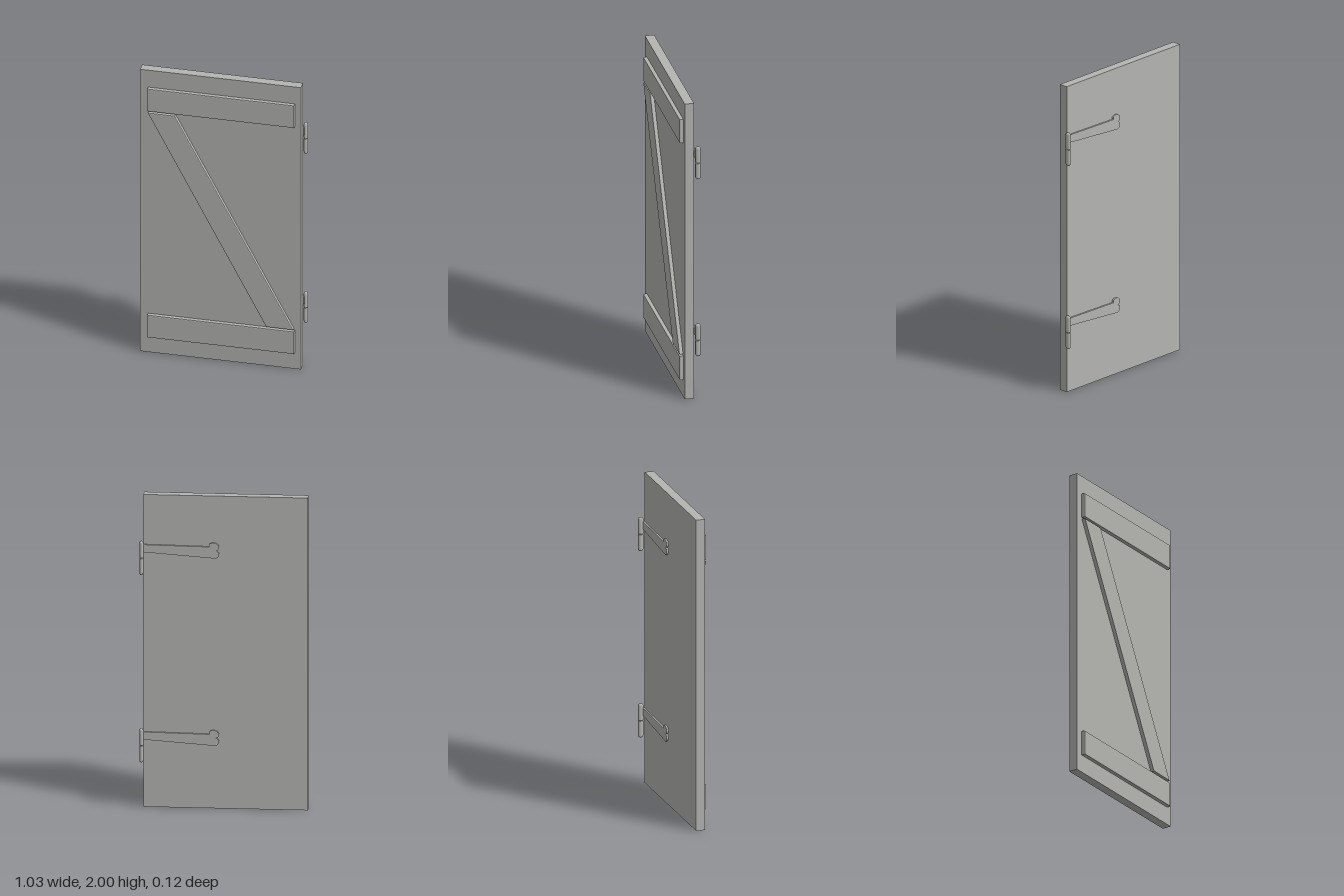
import * as THREE from 'three';

export function createModel() {
  const door = new THREE.Group();
  door.name = 'ledgedDoor';
  const grey = new THREE.MeshStandardMaterial({ color: 0xb4b5b1 });
  grey.name = 'plain grey';

  function add(name, geometry, parent = door) {
    const mesh = new THREE.Mesh(geometry, grey);
    mesh.name = name;
    parent.add(mesh);
    return mesh;
  }

  // Main slab
  const slab = add('slab', new THREE.BoxGeometry(1.01, 2, 0.058));
  slab.position.set(-0.013, 1, 0.006);

  // Boards on the front: outline extruded with softly eased edges
  const bevel = 0.006;
  function board(name, points) {
    const shape = new THREE.Shape(points.map(([x, y]) => new THREE.Vector2(x, y)));
    const geometry = new THREE.ExtrudeGeometry(shape, {
      depth: 0.03, bevelEnabled: true, bevelSize: bevel, bevelOffset: -bevel,
      bevelThickness: bevel, bevelSegments: 2,
    });
    geometry.translate(0, 0, 0.059 - 0.03 - bevel);
    add(name, geometry);
  }
  const rail = (y0, y1) => [[-0.468, y0], [0.453, y0], [0.453, y1], [-0.468, y1]];
  board('topRail', rail(1.72, 1.88));
  board('bottomRail', rail(0.115, 0.275));
  board('diagonalBrace', [[0.278, 0.286], [0.448, 0.286], [-0.296, 1.71], [-0.466, 1.71]]);

  // Strap outline, with y measured from the joint of the hinge barrel
  const strapShape = new THREE.Shape();
  strapShape.moveTo(0.5, 0.034);
  strapShape.lineTo(0.5, 0.082);
  strapShape.lineTo(0.086, 0.076);
  strapShape.bezierCurveTo(0.105, 0.108, 0.03, 0.112, 0.028, 0.075);
  strapShape.quadraticCurveTo(0.028, 0.058, 0.046, 0.052);
  strapShape.bezierCurveTo(0.022, 0.046, 0.02, 0.006, 0.055, 0.002);
  strapShape.lineTo(0.086, 0.005);
  strapShape.closePath();
  const strapGeometry = new THREE.ExtrudeGeometry(strapShape, {
    depth: 0.014, bevelEnabled: false, curveSegments: 10,
  });
  strapGeometry.translate(0, 0, -0.034);

  // Half of the oval barrel, rounded at both ends
  const length = 0.109;
  const profile = [
    [0, 0], [0.012, 0], [0.016, 0.002], [0.017, 0.005], [0.017, length - 0.014],
    [0.015, length - 0.007], [0.01, length - 0.002], [0, length],
  ].map(([r, y]) => new THREE.Vector2(r, y));
  const barrelGeometry = new THREE.LatheGeometry(profile, 24);
  barrelGeometry.scale(0.73, 1, 1);

  // Two hinges on the back
  for (const [name, y] of [['upperHinge', 1.6], ['lowerHinge', 0.4]]) {
    const hinge = new THREE.Group();
    hinge.name = name;
    hinge.position.y = y;
    add('strap', strapGeometry, hinge);
    const top = add('upperBarrel', barrelGeometry, hinge);
    top.position.set(0.504, 0, -0.045);
    const bottom = add('lowerBarrel', barrelGeometry, hinge);
    bottom.position.copy(top.position);
    bottom.rotation.x = Math.PI;
    door.add(hinge);
  }
  return door;
}
